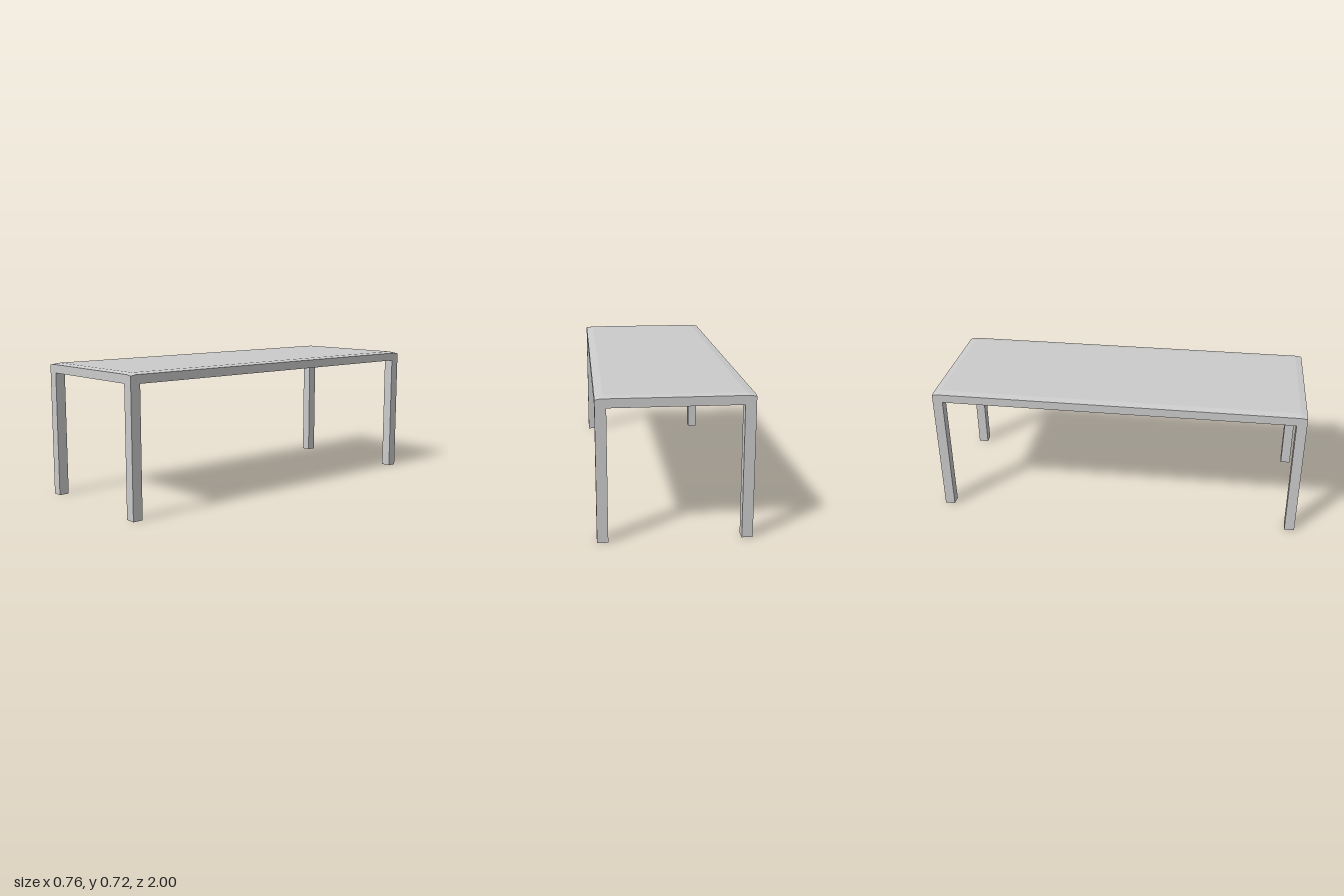
import * as THREE from 'three';

const HX = 0.378, HZ = 1;          // half width and half length
const UNDER = 0.666;               // underside of the slab
const LEG = 0.054;                 // leg thickness
const material = new THREE.MeshStandardMaterial({ color: 0xcccccc, flatShading: true });

// Corners in counter-clockwise order seen from above
const corners = [[1, 1], [1, -1], [-1, -1], [-1, 1]];

// Ring with three points per corner: before, at and after it
function ring(hx, hz, inset, yCorner, yEdge) {
  return corners.flatMap(([sx, sz]) => {
    const alongX = new THREE.Vector3(sx * (hx - inset), yEdge, sz * hz);
    const corner = new THREE.Vector3(sx * hx, yCorner, sz * hz);
    const alongZ = new THREE.Vector3(sx * hx, yEdge, sz * (hz - inset));
    return sx === sz ? [alongX, corner, alongZ] : [alongZ, corner, alongX];
  });
}

// Slab lofted through rings: underside, rim with dropped corners, raised panel
function slabGeometry() {
  const rings = [
    ring(HX, HZ, 0.03, UNDER, UNDER),
    ring(HX, HZ, 0.03, 0.706, 0.711),
    ring(0.336, 0.965, 0, 0.718, 0.718),
  ];
  const points = [];
  const tri = (a, b, c) => {
    if (!a.equals(b) && !b.equals(c) && !c.equals(a)) points.push(a, b, c);
  };
  const n = rings[0].length;
  for (let r = 0; r < rings.length - 1; r++) {
    const lo = rings[r], hi = rings[r + 1];
    for (let i = 0; i < n; i++) {
      const j = (i + 1) % n;
      tri(lo[i], lo[j], hi[j]);
      tri(lo[i], hi[j], hi[i]);
    }
  }
  // Caps
  const bottom = rings[0], top = rings[2];
  for (let i = 1; i < n - 1; i++) {
    tri(bottom[0], bottom[i + 1], bottom[i]);
    tri(top[0], top[i], top[i + 1]);
  }
  const geometry = new THREE.BufferGeometry().setFromPoints(points);
  geometry.computeVertexNormals();
  return geometry;
}

export function createModel() {
  const table = new THREE.Group();
  table.name = 'table';

  const top = new THREE.Mesh(slabGeometry(), material);
  top.name = 'tableTop';
  table.add(top);

  // Square legs flush with the corners
  const legGeometry = new THREE.BoxGeometry(LEG, UNDER, LEG);
  for (const [sx, sz] of corners) {
    const leg = new THREE.Mesh(legGeometry, material);
    leg.name = (sz > 0 ? 'front' : 'back') + (sx > 0 ? 'Left' : 'Right') + 'Leg';
    leg.position.set(sx * (HX - LEG / 2), UNDER / 2, sz * (HZ - LEG / 2));
    table.add(leg);
  }
  return table;
}
